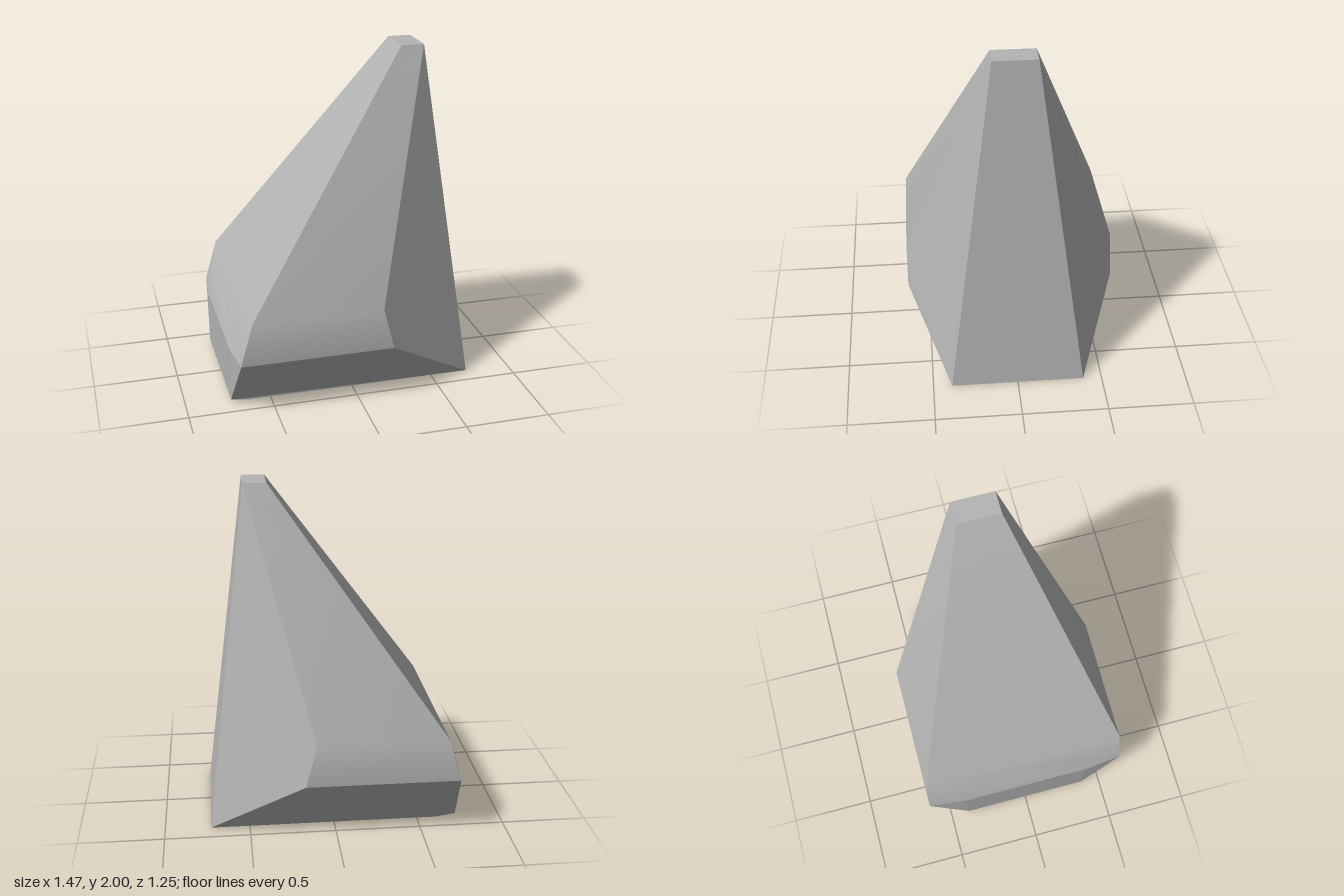
import * as THREE from 'three';

export function createModel() {
  const model = new THREE.Group();
  model.name = 'taperedStone';
  const stoneGrey = new THREE.MeshStandardMaterial({ color: 0xb4b4b4 });
  stoneGrey.name = 'stone grey';

  // Corners for one side (s = 1 front, s = -1 back)
  const corners = (s) => ({
    footR: [0.73, 0, 0.39 * s],
    footL: [-0.62, 0, 0.39 * s],
    heelL: [-0.735, 0.015, 0.385 * s],
    waistL: [-0.735, 0.35, 0.39 * s],
    hipL: [-0.71, 0.35, 0.625 * s],
    hipR: [0.185, 0.35, 0.625 * s],
    chestL: [-0.64, 0.6, 0.618 * s],
    chestR: [0.12, 0.6, 0.625 * s],
    topL: [0.355, 2, 0.125 * s],
    topR: [0.49, 2, 0.125 * s],
  });
  const f = corners(1), b = corners(-1);

  // Polygons within one part share points, so their normals blend
  function addPart(name, polygons, flip = false) {
    const points = [], index = [];
    const id = (p) => {
      if (!points.includes(p)) points.push(p);
      return points.indexOf(p);
    };
    for (const poly of polygons) {
      const p = (flip ? [...poly].reverse() : poly).map(id);
      for (let i = 1; i < p.length - 1; i++) index.push(p[0], p[i], p[i + 1]);
    }
    const geo = new THREE.BufferGeometry();
    geo.setAttribute('position', new THREE.Float32BufferAttribute(points.flat(), 3));
    geo.setIndex(index);
    geo.computeVertexNormals();
    const mesh = new THREE.Mesh(geo, stoneGrey);
    mesh.name = name;
    model.add(mesh);
  }

  // Mirrored front and back facets
  for (const [c, side, flip] of [[f, 'front', false], [b, 'back', true]]) {
    addPart(side + 'Slope', [
      [c.hipL, c.hipR, c.chestR, c.chestL],
      [c.chestL, c.chestR, c.topR, c.topL],
    ], flip);
    addPart(side + 'Undercut', [[c.heelL, c.footL, c.footR, c.hipR, c.hipL]], flip);
    addPart(side + 'CornerFacet', [[c.chestR, c.hipR, c.footR, c.topR]], flip);
    addPart(side + 'LeftCorner', [[c.heelL, c.hipL, c.waistL]], flip);
  }

  // Left slope blends into the band beneath it
  addPart('leftSlope', [
    [b.chestL, b.hipL, b.waistL, f.waistL, f.hipL, f.chestL],
    [b.chestL, f.chestL, f.topL, b.topL],
  ]);
  addPart('leftWall', [[b.heelL, f.heelL, f.waistL, b.waistL]]);
  addPart('rightWall', [[f.footR, b.footR, b.topR, f.topR]]);
  addPart('topCap', [[f.topL, f.topR, b.topR, b.topL]]);
  addPart('base', [
    [f.footL, b.footL, b.footR, f.footR],
  ]);
  addPart('baseBevel', [[f.heelL, b.heelL, b.footL, f.footL]]);
  return model;
}
